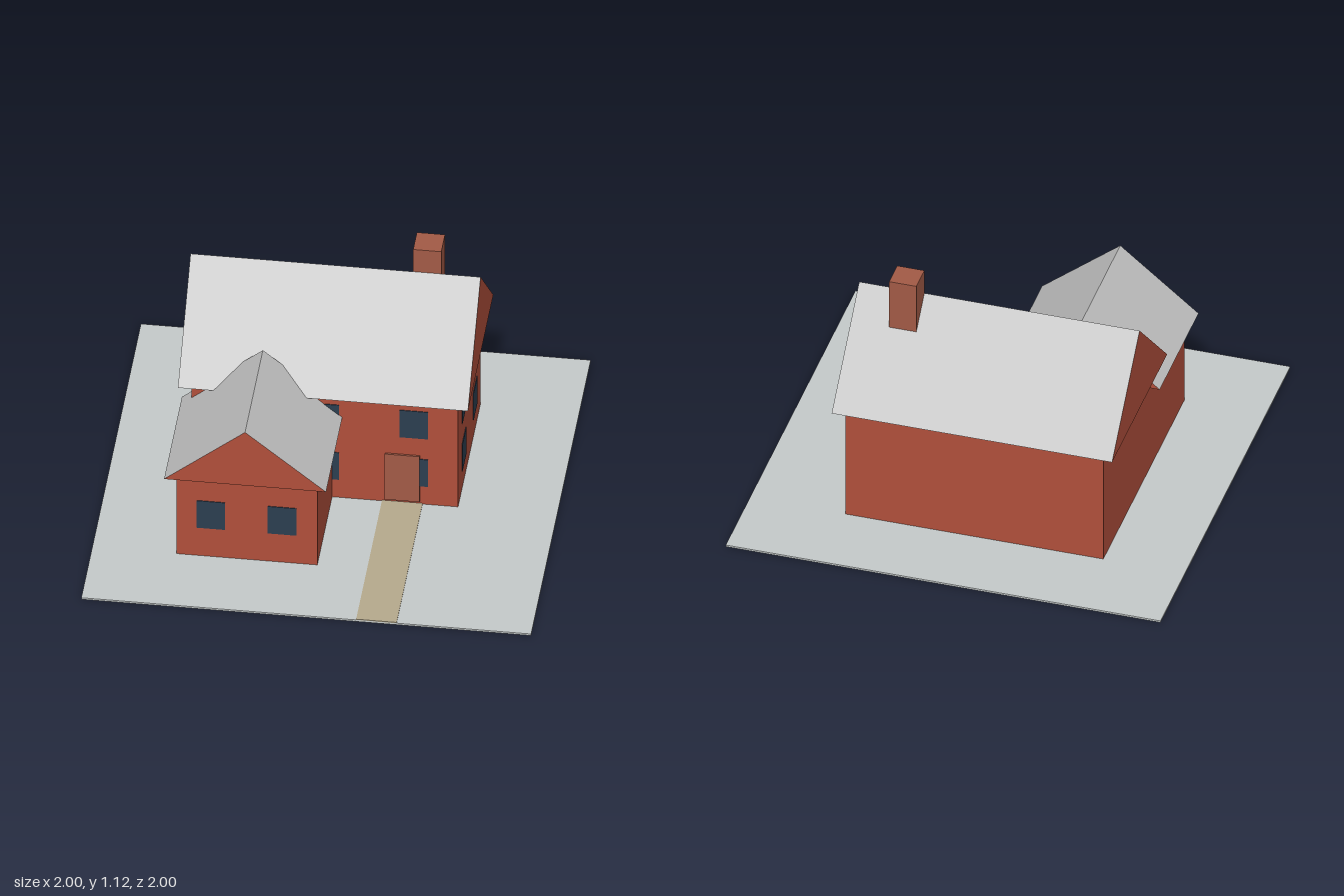
import * as THREE from 'three';

const mat = (name, color, side = THREE.FrontSide) => {
  const m = new THREE.MeshStandardMaterial({ color, side });
  m.name = name;
  return m;
};

export function createModel() {
  const house = new THREE.Group();
  house.name = 'house';
  const brick = mat('brick red', 0xb04f3b);
  const gableRed = mat('brick red', 0xb04f3b, THREE.DoubleSide);
  gableRed.name = 'gable red';
  const slate = mat('roof grey', 0xbebebe, THREE.DoubleSide);
  const wood = mat('sienna brown', 0xa25a46);
  const glass = mat('window blue', 0x2c3e50);
  const paving = mat('ground grey', 0xc4c9c9);
  const sand = mat('path tan', 0xb5a98c);

  // Box given by its lower and upper corners
  const block = (name, material, [x0, y0, z0], [x1, y1, z1], parent = house) => {
    const mesh = new THREE.Mesh(new THREE.BoxGeometry(x1 - x0, y1 - y0, z1 - z0), material);
    mesh.position.set((x0 + x1) / 2, (y0 + y1) / 2, (z0 + z1) / 2);
    mesh.name = name;
    parent.add(mesh);
    return mesh;
  };

  // Hollow gabled roof, open underneath, with its ridge along local z
  const gableRoof = (name, width, height, length) => {
    const w = width / 2, l = length / 2;
    const roof = new THREE.Group();
    roof.name = name;
    const surface = (partName, material, corners) => {
      const g = new THREE.BufferGeometry();
      g.setAttribute('position', new THREE.Float32BufferAttribute(corners.flat(), 3));
      g.setIndex(corners.length === 4 ? [0, 1, 2, 0, 2, 3] : [0, 1, 2]);
      g.computeVertexNormals();
      const mesh = new THREE.Mesh(g, material);
      mesh.name = partName;
      roof.add(mesh);
    };
    surface('slopeA', slate, [[w, 0, l], [w, 0, -l], [0, height, -l], [0, height, l]]);
    surface('slopeB', slate, [[-w, 0, -l], [-w, 0, l], [0, height, l], [0, height, -l]]);
    surface('gableA', gableRed, [[-w, 0, l], [w, 0, l], [0, height, l]]);
    surface('gableB', gableRed, [[w, 0, -l], [-w, 0, -l], [0, height, -l]]);
    house.add(roof);
    return roof;
  };

  // Grounds
  block('ground', paving, [-1, 0, -1], [1, 0.009, 1]);
  block('path', sand, [0.222, 0.004, 0.12], [0.402, 0.013, 1]);

  // Walls
  block('mainWalls', brick, [-0.625, 0.004, -0.625], [0.56, 0.58, 0.13]);
  block('wingWalls', brick, [-0.625, 0.004, 0.1], [0, 0.455, 0.628]);

  // Roofs
  const mainRoof = gableRoof('mainRoof', 0.85, 0.422, 1.29);
  mainRoof.rotation.y = Math.PI / 2;
  mainRoof.position.set(-0.035, 0.58, -0.25);
  const wingRoof = gableRoof('wingRoof', 0.72, 0.295, 0.6);
  wingRoof.position.set(-0.315, 0.455, 0.376);

  // Chimney and door
  block('chimney', wood, [0.31, 0.7, -0.375], [0.435, 1.125, -0.25]);
  block('door', wood, [0.235, 0.025, 0.125], [0.39, 0.277, 0.139]);

  // Windows: thin plates on the front walls
  const w = 0.127, h = 0.15, t = 0.003;
  for (const y of [0.108, 0.372]) {
    for (const x of [-0.096, 0.3])
      block('frontWindow', glass, [x, y, 0.13 - t], [x + w, y + h, 0.13 + t]);
    // Right-hand gable wall
    for (const z of [-0.126, -0.5])
      block('sideWindow', glass, [0.56 - t, y, z], [0.56 + t, y + h, z + w]);
  }
  for (const x of [-0.537, -0.22])
    block('wingWindow', glass, [x, 0.164, 0.628 - t], [x + w, 0.164 + h, 0.628 + t]);

  return house;
}
